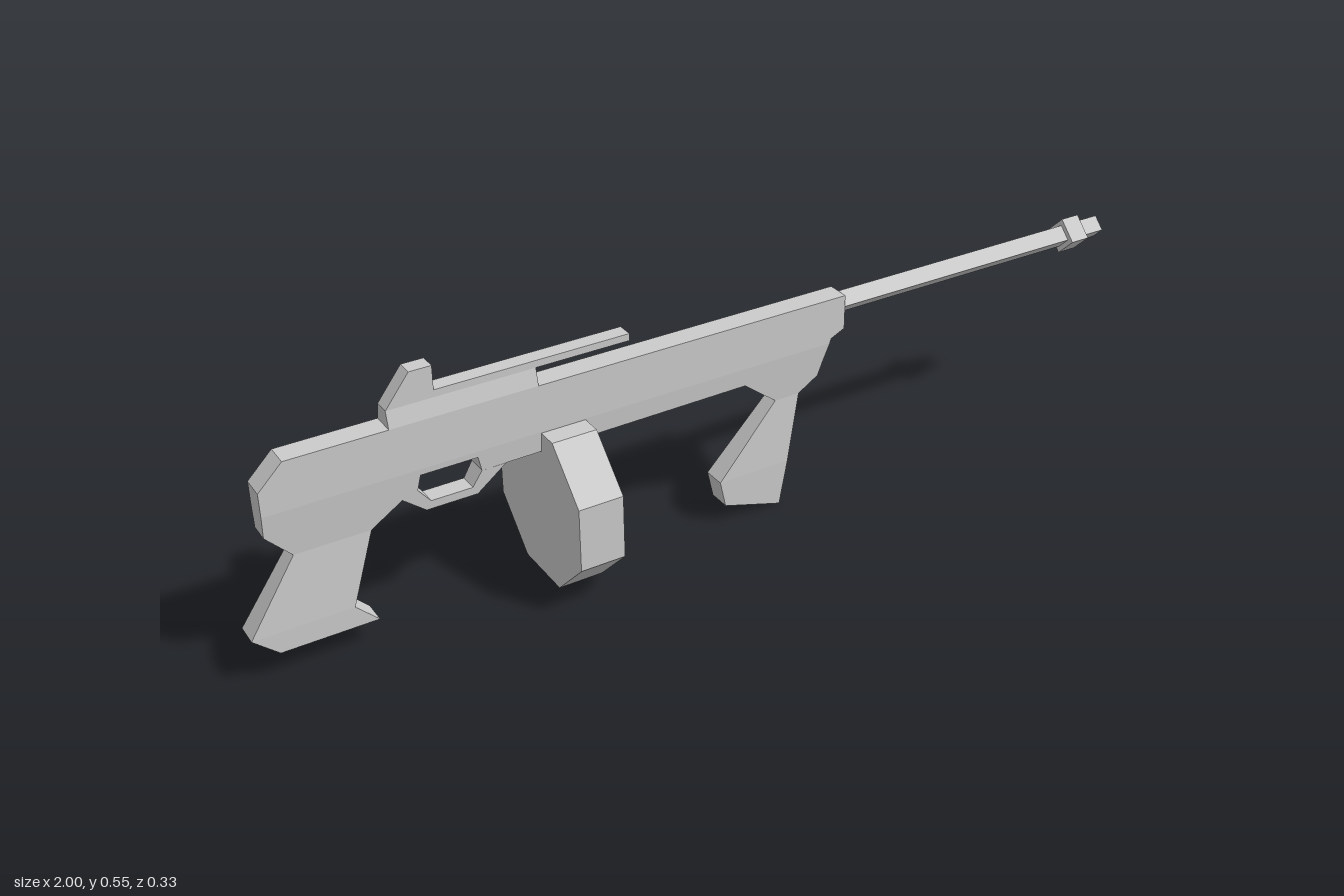
import * as THREE from 'three';

const material = new THREE.MeshStandardMaterial({ color: 0xcccccc, flatShading: true });

// Half thickness of the slab-like parts at each height
const THICKNESS = [[0, 0.025], [0.1, 0.025], [0.25, 0.018], [0.35, 0.025], [0.45, 0.025], [0.485, 0.017], [0.56, 0.017]];
function halfThickness(y) {
  for (let i = 1; i < THICKNESS.length; i++) {
    const [y0, t0] = THICKNESS[i - 1];
    const [y1, t1] = THICKNESS[i];
    if (y <= y1) return THREE.MathUtils.mapLinear(y, y0, y1, t0, t1);
  }
  return 0.017;
}

// Side outline extruded in z, with its thickness following the height
function slab(name, outline) {
  const shape = new THREE.Shape(outline.map(([x, y]) => new THREE.Vector2(x, y)));
  const geometry = new THREE.ExtrudeGeometry(shape, { depth: 2, bevelEnabled: false });
  const p = geometry.attributes.position;
  for (let i = 0; i < p.count; i++) p.setZ(i, (p.getZ(i) - 1) * halfThickness(p.getY(i)));
  geometry.computeVertexNormals();
  const mesh = new THREE.Mesh(geometry, material);
  mesh.name = name;
  return mesh;
}

// Faceted cylinder lying along x, from x0 to x1
function prism(name, x0, x1, y, radius, sides, turn = 0) {
  const geometry = new THREE.CylinderGeometry(radius, radius, x1 - x0, sides);
  geometry.rotateY(turn);
  geometry.rotateZ(-Math.PI / 2);
  const mesh = new THREE.Mesh(geometry, material);
  mesh.position.set((x0 + x1) / 2, y, 0);
  mesh.name = name;
  return mesh;
}

export function createModel() {
  const model = new THREE.Group();
  model.name = 'drumMagazineGun';

  // Body, its lower half tapering downwards around the trigger opening
  model.add(
    slab('upperBody', [[-0.95, 0.35], [-0.95, 0.4], [-0.9, 0.45], [0.3, 0.45], [0.3, 0.375], [0.268, 0.36], [0.265, 0.35]]),
    slab('lowerBody', [[-0.95, 0.35], [-0.95, 0.305], [-0.655, 0.305], [-0.648, 0.337], [-0.532, 0.337],
      [-0.525, 0.305], [0.06, 0.31], [0.25, 0.31], [0.265, 0.35]]),
    slab('triggerGuard', [[-0.7, 0.305], [-0.64, 0.255], [-0.535, 0.255], [-0.475, 0.305], [-0.525, 0.305],
      [-0.545, 0.273], [-0.63, 0.273], [-0.655, 0.305]])
  );

  // Rear grip: shoulder, handle and flared foot
  const rearGrip = new THREE.Group();
  rearGrip.name = 'rearGrip';
  rearGrip.add(
    slab('rearGripShoulder', [[-0.95, 0.305], [-0.9, 0.25], [-0.75, 0.25], [-0.67, 0.305]]),
    slab('rearGripHandle', [[-0.9, 0.25], [-1, 0.1], [-0.8, 0.1], [-0.75, 0.25]]),
    slab('rearGripFoot', [[-1, 0.1], [-0.95, 0.055], [-0.755, 0.055], [-0.8, 0.1]])
  );

  // Front grip, leaning back from its narrow neck
  const frontGrip = new THREE.Group();
  frontGrip.name = 'frontGrip';
  frontGrip.add(
    slab('frontGripShoulder', [[0.06, 0.31], [0.137, 0.25], [0.195, 0.25], [0.24, 0.28], [0.25, 0.31]]),
    slab('frontGripHandle', [[0.137, 0.25], [0, 0.1], [0.166, 0.1], [0.195, 0.25]]),
    slab('frontGripFoot', [[0, 0.1], [0.013, 0.04], [0.147, 0], [0.166, 0.1]])
  );
  model.add(rearGrip, frontGrip);

  // Sight block with its long overhanging rail
  model.add(
    slab('sightBase', [[-0.7, 0.45], [-0.4, 0.45], [-0.4, 0.485], [-0.7, 0.485]]),
    slab('sightRail', [[-0.7, 0.485], [-0.65, 0.55], [-0.605, 0.55], [-0.605, 0.5], [-0.2, 0.5], [-0.2, 0.485]])
  );

  // Diamond barrel, muzzle ring and octagonal drum
  model.add(
    prism('barrel', 0.29, 1, 0.425, 0.025, 4),
    prism('muzzleRing', 0.9, 0.945, 0.425, 0.04, 4),
    prism('drumMagazine', -0.4, -0.305, 0.182, 0.179, 8, Math.PI / 8)
  );
  return model;
}
